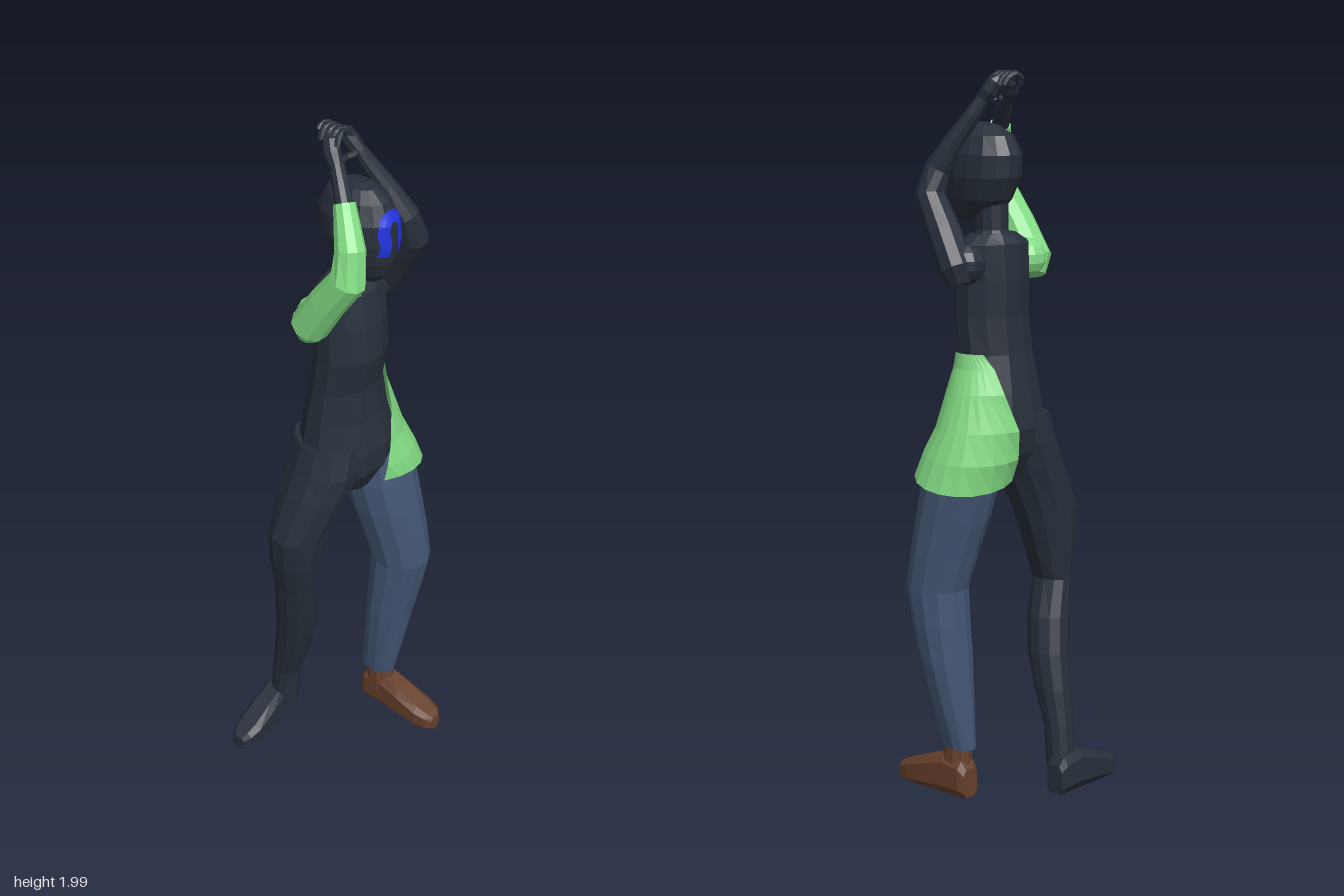
import * as THREE from 'three';

const mat = (name, color, side = THREE.FrontSide) => {
  const m = new THREE.MeshStandardMaterial({ color, flatShading: true, side });
  m.name = name;
  return m;
};

// Joins rings of points (each an array of Vector3, counter-clockwise about the path) into a skin
function skin(rings, closed = true) {
  const n = rings[0].length, pos = [], idx = [];
  rings.forEach(r => r.forEach(p => pos.push(p.x, p.y, p.z)));
  for (let i = 0; i < rings.length - 1; i++) {
    for (let j = 0; j < (closed ? n : n - 1); j++) {
      const a = i * n + j, b = i * n + (j + 1) % n;
      idx.push(a, b, a + n, b, b + n, a + n);
    }
  }
  if (closed) {
    [0, rings.length - 1].forEach(i => {
      const c = new THREE.Vector3();
      rings[i].forEach(p => c.addScaledVector(p, 1 / n));
      const k = pos.length / 3;
      pos.push(c.x, c.y, c.z);
      for (let j = 0; j < n; j++) {
        const a = i * n + j, b = i * n + (j + 1) % n;
        if (i) idx.push(k, a, b); else idx.push(k, b, a);
      }
    });
  }
  const g = new THREE.BufferGeometry();
  g.setAttribute('position', new THREE.Float32BufferAttribute(pos, 3));
  g.setIndex(idx);
  g.computeVertexNormals();
  return g;
}

// Level cross-sections: [y, xMin, xMax, zMin, zMax], listed from the bottom up
function slabs(rows, sides = 12) {
  return skin(rows.map(([y, x0, x1, z0, z1]) => Array.from({ length: sides }, (_, j) => {
    const a = -(j + 0.5) / sides * Math.PI * 2;
    return new THREE.Vector3((x0 + x1) / 2 + (x1 - x0) / 2 * Math.cos(a), y,
      (z0 + z1) / 2 + (z1 - z0) / 2 * Math.sin(a));
  })));
}

// Round limb through points [x, y, z, radius]
function limb(rows, sides = 10) {
  const p = rows.map(r => new THREE.Vector3(r[0], r[1], r[2]));
  return skin(p.map((c, i) => {
    const t = p[Math.min(i + 1, p.length - 1)].clone().sub(p[Math.max(i - 1, 0)]).normalize();
    const u = new THREE.Vector3(1, 0, 0);
    u.addScaledVector(t, -u.dot(t)).normalize();
    const v = t.clone().cross(u);
    return Array.from({ length: sides }, (_, j) => {
      const a = j / sides * Math.PI * 2;
      return c.clone().addScaledVector(u, rows[i][3] * Math.cos(a)).addScaledVector(v, rows[i][3] * Math.sin(a));
    });
  }));
}

// Foot pointing to +z: rows are [z, half width, top height], with rounded-box sections
function footShape() {
  const rows = [[-0.05, 0.028, 0.085], [-0.035, 0.038, 0.11], [0.03, 0.04, 0.12], [0.09, 0.043, 0.1],
    [0.16, 0.044, 0.072], [0.195, 0.036, 0.06], [0.212, 0.02, 0.045]];
  const pw = c => Math.sign(c) * Math.pow(Math.abs(c), 0.6);
  return skin(rows.map(([z, w, h]) => Array.from({ length: 8 }, (_, j) => {
    const a = (j + 0.5) / 8 * Math.PI * 2;
    return new THREE.Vector3(w * pw(Math.cos(a)), h / 2 + 0.003 + (h / 2) * pw(Math.sin(a)), z);
  })));
}

export function createModel() {
  const group = new THREE.Group();
  const dark = mat('dark suit', 0x272f3a);
  const green = mat('green cloth', 0x83dc84);
  const greenOpen = mat('green cloth panel', 0x83dc84, THREE.DoubleSide);
  const denim = mat('blue denim', 0x435674);
  const brown = mat('brown leather', 0x663f2b);
  const blue = mat('blue mark', 0x2233dd, THREE.DoubleSide);
  const add = (name, geo, m) => {
    const mesh = new THREE.Mesh(geo, m);
    mesh.name = name;
    group.add(mesh);
    return mesh;
  };

  // Head, neck and torso
  const headRows = [
    [1.595, 0.035, 0.095, 0.0, 0.07], [1.62, 0.015, 0.117, -0.05, 0.09], [1.66, -0.005, 0.14, -0.09, 0.105],
    [1.72, -0.02, 0.153, -0.12, 0.113], [1.78, -0.018, 0.15, -0.125, 0.108], [1.83, 0.003, 0.13, -0.1, 0.085],
    [1.855, 0.035, 0.1, -0.055, 0.045], [1.862, 0.055, 0.08, -0.02, 0.015]];
  add('head', slabs(headRows, 16), dark);
  add('neck', slabs([[1.53, 0.005, 0.125, -0.095, 0.02], [1.58, 0.02, 0.108, -0.08, 0.015], [1.66, 0.02, 0.108, -0.08, 0.02]]), dark);
  add('torso', slabs([
    [0.91, -0.02, 0.12, -0.1, 0.04], [0.98, -0.1, 0.2, -0.14, 0.075], [1.05, -0.1, 0.213, -0.152, 0.078],
    [1.15, -0.08, 0.185, -0.138, 0.058], [1.25, -0.065, 0.165, -0.118, 0.05], [1.35, -0.058, 0.168, -0.112, 0.068],
    [1.45, -0.055, 0.168, -0.115, 0.06], [1.545, -0.052, 0.172, -0.11, 0.038], [1.57, -0.01, 0.13, -0.09, 0.02]]), dark);

  // Arch-shaped mark laid over the curve of the face
  const faceZ = (x, y) => {
    const i = headRows.findIndex(r => r[0] > y), a = headRows[i - 1], b = headRows[i];
    const [x0, x1, z0, z1] = [1, 2, 3, 4].map(k => THREE.MathUtils.mapLinear(y, a[0], b[0], a[k], b[k]));
    const q = (x - (x0 + x1) / 2) / ((x1 - x0) / 2);
    return (z0 + z1) / 2 + (z1 - z0) / 2 * Math.sqrt(Math.max(0, 1 - q * q)) + 0.005;
  };
  const arch = new THREE.CatmullRomCurve3([[0.036, 1.692], [0.041, 1.725], [0.037, 1.765], [0.048, 1.793], [0.067, 1.8],
    [0.086, 1.793], [0.097, 1.765], [0.093, 1.725], [0.098, 1.692]].map(([x, y]) => new THREE.Vector3(x, y, 0)));
  add('faceMark', skin(Array.from({ length: 33 }, (_, i) => {
    const p = arch.getPoint(i / 32), t = arch.getTangent(i / 32);
    return [-1, 0, 1].map(s => {
      const x = p.x - t.y * s * 0.015, y = p.y + t.x * s * 0.015;
      return new THREE.Vector3(x, y, faceZ(x, y));
    });
  }), false), blue);

  // Legs
  add('rightLeg', slabs([
    [0.06, -0.118, -0.032, -0.21, -0.13], [0.2, -0.12, -0.035, -0.195, -0.115], [0.3, -0.13, -0.03, -0.182, -0.075],
    [0.4, -0.142, -0.03, -0.165, -0.045], [0.5, -0.16, -0.045, -0.15, -0.028], [0.6, -0.172, -0.078, -0.137, -0.015],
    [0.7, -0.195, -0.048, -0.143, 0.003], [0.8, -0.203, -0.015, -0.148, 0.02], [0.93, -0.155, 0.037, -0.15, 0.055],
    [1.0, -0.125, 0.06, -0.15, 0.068], [1.08, -0.098, 0.07, -0.145, 0.06]]), dark);
  add('leftTrouserLeg', slabs([
    [0.15, 0.118, 0.193, -0.052, 0.055], [0.28, 0.107, 0.222, -0.043, 0.08], [0.4, 0.098, 0.248, -0.036, 0.102],
    [0.5, 0.098, 0.26, -0.032, 0.125], [0.6, 0.098, 0.265, -0.028, 0.146], [0.7, 0.08, 0.262, -0.055, 0.138],
    [0.8, 0.06, 0.257, -0.085, 0.125], [0.9, 0.048, 0.252, -0.11, 0.107], [0.99, 0.05, 0.235, -0.12, 0.088]]), denim);

  // Feet
  const rightFoot = add('rightFoot', footShape(), dark);
  rightFoot.position.set(-0.077, 0.008, -0.182);
  rightFoot.rotation.y = Math.atan2(-0.99, 0.12);
  const boot = add('leftBoot', footShape(), brown);
  boot.position.set(0.161, 0.008, 0.005);
  boot.rotation.y = 0.04;
  add('bootAnkle', slabs([[0.07, 0.12, 0.2, -0.04, 0.06], [0.17, 0.125, 0.188, -0.036, 0.046]], 10), brown);

  // Hip panel: [y, xMin, xMax, zMin, zMax, back angle, front angle, hem tilt]
  const panel = [
    [0.915, 0.0, 0.287, -0.135, 0.116, -122, 124, 1], [0.98, -0.025, 0.266, -0.155, 0.108, -108, 110, 0.5],
    [1.05, -0.1, 0.238, -0.164, 0.092, -84, 82, 0], [1.15, -0.082, 0.204, -0.15, 0.072, -66, 60, 0],
    [1.215, -0.07, 0.18, -0.13, 0.058, -54, 42, 0], [1.255, -0.065, 0.172, -0.122, 0.055, -38, 28, 0]];
  add('hipPanel', skin(panel.map(([y, x0, x1, z0, z1, a0, a1, k]) => Array.from({ length: 13 }, (_, j) => {
    const a = THREE.MathUtils.degToRad(a1 + (a0 - a1) * j / 12);
    const x = (x0 + x1) / 2 + (x1 - x0) / 2 * Math.cos(a), z = (z0 + z1) / 2 + (z1 - z0) / 2 * Math.sin(a);
    return new THREE.Vector3(x, y + k * (0.2 * z - 0.13 * (x - 0.17)), z);
  })), false), greenOpen);

  // Arms raised overhead
  add('rightSleeve', limb([
    [-0.082, 1.445, -0.05, 0.03], [-0.09, 1.485, -0.035, 0.053], [-0.088, 1.58, 0.025, 0.05],
    [-0.08, 1.67, 0.088, 0.049], [-0.065, 1.75, 0.082, 0.041], [-0.027, 1.85, 0.028, 0.029]]), green);
  add('rightForearm', limb([[-0.032, 1.835, 0.035, 0.024], [-0.01, 1.885, 0.0, 0.023], [0.008, 1.925, -0.03, 0.019]]), dark);
  add('leftArm', limb([
    [0.2, 1.445, -0.055, 0.03], [0.203, 1.485, -0.042, 0.05], [0.2, 1.58, 0.01, 0.048], [0.192, 1.67, 0.07, 0.043],
    [0.17, 1.74, 0.062, 0.037], [0.145, 1.82, 0.018, 0.028], [0.118, 1.885, -0.02, 0.023], [0.102, 1.925, -0.04, 0.019]]), dark);
  [['rightShoulder', -0.055, green], ['leftShoulder', 0.17, dark]].forEach(([name, x, m]) => {
    const s = add(name, new THREE.SphereGeometry(0.055, 10, 7), m);
    s.position.set(x, 1.495, -0.045);
  });

  // Hands meeting in a ring, with arched fingers and thumbs
  [['right', -1], ['left', 1]].forEach(([side, s]) => {
    const X = d => 0.055 + s * d;
    const tube = (name, pts, r) => add(name,
      new THREE.TubeGeometry(new THREE.CatmullRomCurve3(pts.map(p => new THREE.Vector3(...p))), 6, r, 6), dark);
    add(side + 'Palm', limb([[X(0.046), 1.92, -0.035, 0.019], [X(0.038), 1.945, -0.055, 0.024],
      [X(0.028), 1.972, -0.07, 0.022], [X(0.022), 1.982, -0.078, 0.012]], 8), dark);
    for (let i = 0; i < 4; i++) {
      const z = -0.042 - i * 0.018 - (s > 0 ? 0.008 : 0);
      tube(side + 'Finger', [[X(0.034), 1.962, z], [X(0.018), 1.986, z - 0.006], [X(-0.004), 1.991, z - 0.012], [X(-0.018), 1.978, z - 0.014]], 0.009);
    }
    tube(side + 'Thumb', [[X(0.04), 1.935, -0.04], [X(0.022), 1.922, -0.035], [X(0.002), 1.922, -0.04]], 0.009);
  });

  return group;
}
